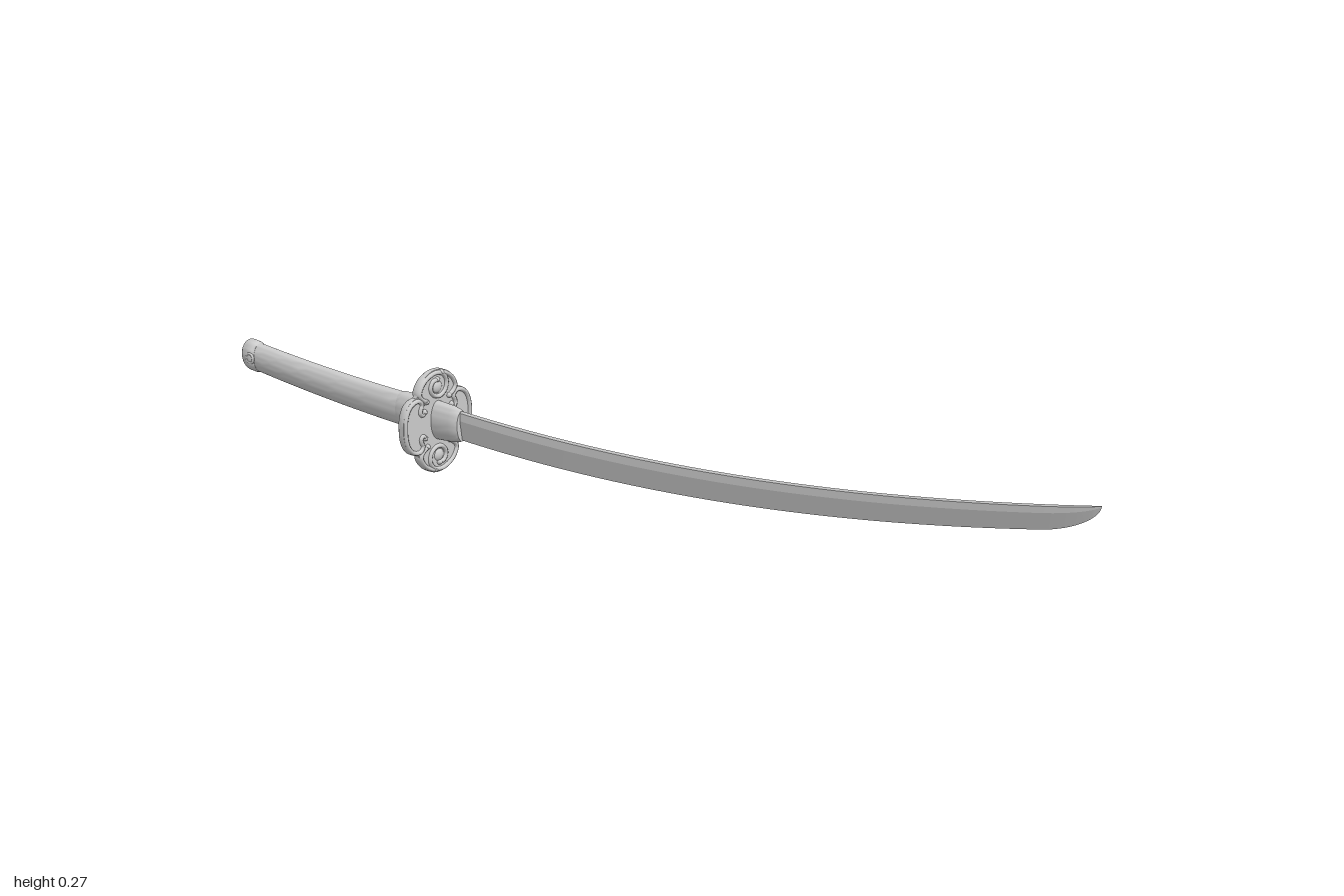
import * as THREE from 'three';
import { toCreasedNormals } from 'three/addons/utils/BufferGeometryUtils.js';

const material = new THREE.MeshStandardMaterial({ color: 0xcccccc });
const GUARD_Z = -0.43, GUARD_Y = 0.105;

// Closed skin through cross-sections ordered by rising z; each section runs counter-clockwise.
function loft(sections, crease = 0.6) {
  const pos = [], index = [], n = sections[0].pts.length, last = sections.length - 1;
  for (const { z, pts } of sections) for (const [x, y] of pts) pos.push(x, y, z);
  for (let i = 0; i < last; i++) for (let j = 0; j < n; j++) {
    const k = (j + 1) % n, a = i * n, b = a + n;
    index.push(a + j, a + k, b + j, a + k, b + k, b + j);
  }
  for (let j = 1; j < n - 1; j++) {
    index.push(0, j + 1, j);
    index.push(last * n, last * n + j, last * n + j + 1);
  }
  const g = new THREE.BufferGeometry();
  g.setAttribute('position', new THREE.Float32BufferAttribute(pos, 3));
  g.setIndex(index);
  return toCreasedNormals(g, crease);
}

// Oval section
function oval(z, cy, rx, ry, n = 32) {
  const pts = [];
  for (let i = 0; i < n; i++) {
    const a = (i / n) * Math.PI * 2;
    pts.push([Math.cos(a) * rx, cy + Math.sin(a) * ry]);
  }
  return { z, pts };
}

function add(parent, name, geometry) {
  const m = new THREE.Mesh(geometry, material);
  m.name = name;
  parent.add(m);
  return m;
}

const handleY = z => 0.109 + 0.08 * (z + 0.4) ** 2;

function bladeGeometry() {
  const sections = [];
  const section = z => {
    const s = Math.max(0, (z - 0.9) / 0.1);
    const tip = Math.max(0.01, Math.sqrt(Math.max(0, 1 - s * s)));
    const top = 0.137 + 0.0907 * (z + 0.22) ** 2;
    const h = (0.06 - 0.018 * ((z + 0.4) / 1.3) ** 2) * tip;
    const t = (0.006 - 0.0012 * (z + 0.4)) * tip, b = top - h;
    return { z, pts: [[0, b], [t, b + 0.68 * h], [t * 0.75, top - 0.06 * h],
      [0, top], [-t * 0.75, top - 0.06 * h], [-t, b + 0.68 * h]] };
  };
  for (let i = 0; i < 44; i++) sections.push(section(-0.42 + 1.32 * i / 44));
  for (let i = 0; i <= 14; i++) sections.push(section(0.9 + 0.1 * Math.sin(i / 14 * Math.PI / 2)));
  return loft(sections, 0.15);
}

// Flattened round moulding along a curve in the guard plane
function moulding(parent, name, points, r = 0.0055) {
  const curve = new THREE.CatmullRomCurve3(points.map(([x, y]) => new THREE.Vector3(x, y, 0)));
  const g = new THREE.TubeGeometry(curve, 80, r, 10);
  g.scale(1, 1, 0.012 / r);
  const m = add(parent, name, g);
  for (const p of [points[0], points[points.length - 1]]) {
    const end = new THREE.SphereGeometry(r * 1.15, 14, 10);
    end.scale(1, 1, 0.012 / r);
    add(parent, name + 'End', end).position.set(p[0], p[1], 0);
  }
  return m;
}

function buildGuard() {
  const guard = new THREE.Group();
  guard.name = 'guard';
  guard.position.set(0, GUARD_Y, GUARD_Z);

  // Four-lobed plate: one quarter of the outline, mirrored around
  const quarter = [[0.094, 0], [0.09, 0.028], [0.079, 0.048], [0.064, 0.057], [0.056, 0.058],
    [0.053, 0.068], [0.045, 0.083], [0.031, 0.096], [0.016, 0.103], [0, 0.105]];
  const upper = [...quarter, ...quarter.slice(0, -1).reverse().map(([x, y]) => [-x, y])];
  const all = [...upper, ...upper.slice(1, -1).reverse().map(([x, y]) => [x, -y])];
  const curve = new THREE.CatmullRomCurve3(all.map(([x, y]) => new THREE.Vector3(x, y, 0)), true);
  const shape = new THREE.Shape(curve.getPoints(120).map(p => new THREE.Vector2(p.x, p.y)));
  const plate = new THREE.ExtrudeGeometry(shape, { depth: 0.012, bevelEnabled: false });
  plate.translate(0, 0, -0.006);
  add(guard, 'guardPlate', toCreasedNormals(plate, 0.6));

  // Side rims ending in small curls
  const half = [[0.037, 0.027], [0.042, 0.021], [0.048, 0.026], [0.047, 0.034], [0.043, 0.042],
    [0.049, 0.051], [0.062, 0.052], [0.077, 0.043], [0.086, 0.025]];
  for (const s of [1, -1]) {
    const rim = [...half, [0.0885, 0], ...half.slice().reverse().map(([x, y]) => [x, -y])];
    moulding(guard, s > 0 ? 'leftRim' : 'rightRim', rim.map(([x, y]) => [x * s, y]));
  }

  // Upper and lower swirls, half a turn apart
  for (const [name, turn] of [['upperSwirl', 0], ['lowerSwirl', Math.PI]]) {
    const swirl = new THREE.Group();
    swirl.name = name;
    swirl.rotation.z = turn;
    guard.add(swirl);
    moulding(swirl, 'spiral', [[-0.031, 0.046], [-0.044, 0.055], [-0.049, 0.064], [-0.042, 0.08],
      [-0.028, 0.092], [-0.006, 0.099], [0.015, 0.094], [0.025, 0.078], [0.02, 0.06],
      [0.004, 0.051], [-0.012, 0.056], [-0.019, 0.07], [-0.012, 0.083], [0, 0.085]]);
    moulding(swirl, 'crescent', [[0.031, 0.046], [0.044, 0.055], [0.049, 0.064], [0.042, 0.08],
      [0.028, 0.092], [0.012, 0.098]]);
    const dome = new THREE.SphereGeometry(0.015, 24, 14);
    dome.scale(1, 1, 0.75);
    add(swirl, 'dome', dome).position.set(0, 0.07, 0);
  }
  return guard;
}

export function createModel() {
  const sword = new THREE.Group();
  sword.name = 'sword';
  add(sword, 'blade', bladeGeometry());

  // Sleeve where the blade meets the guard
  add(sword, 'collar', loft([
    oval(-0.43, 0.1075, 0.02, 0.04), oval(-0.41, 0.1075, 0.02, 0.039),
    oval(-0.38, 0.108, 0.0185, 0.037), oval(-0.364, 0.108, 0.017, 0.034), oval(-0.358, 0.108, 0.014, 0.031)]));
  sword.add(buildGuard());

  // Curved grip with a slightly wider ferrule behind the guard
  const grip = [];
  for (let i = 0; i <= 24; i++) {
    const z = -0.975 + i * 0.545 / 24, k = i / 24;
    grip.push(oval(z, handleY(z), 0.0195, 0.031 + 0.005 * k));
  }
  add(sword, 'grip', loft(grip));
  add(sword, 'ferrule', loft([-0.525, -0.515, -0.48, -0.43].map((z, i) =>
    oval(z, handleY(z), i ? 0.0215 : 0.0195, i ? 0.0375 : 0.0355))));

  // Rounded end cap
  const cap = [];
  for (let i = 0; i <= 8; i++) {
    const a = i / 8 * Math.PI / 2, r = Math.max(0.05, Math.sin(a));
    const z = -0.98 - 0.02 * Math.cos(a);
    cap.push(oval(z, handleY(z), 0.024 * r ** 0.7, 0.034 * r ** 0.7));
  }
  cap.push(oval(-0.96, handleY(-0.96), 0.0235, 0.0335), oval(-0.955, handleY(-0.955), 0.02, 0.031));
  add(sword, 'endCap', loft(cap, 0.9));
  for (const s of [1, -1]) {
    const ring = add(sword, 'endCapRing', new THREE.TorusGeometry(0.01, 0.003, 8, 24));
    ring.rotation.y = Math.PI / 2;
    ring.position.set(s * 0.0215, handleY(-0.965), -0.965);
  }
  return sword;
}
